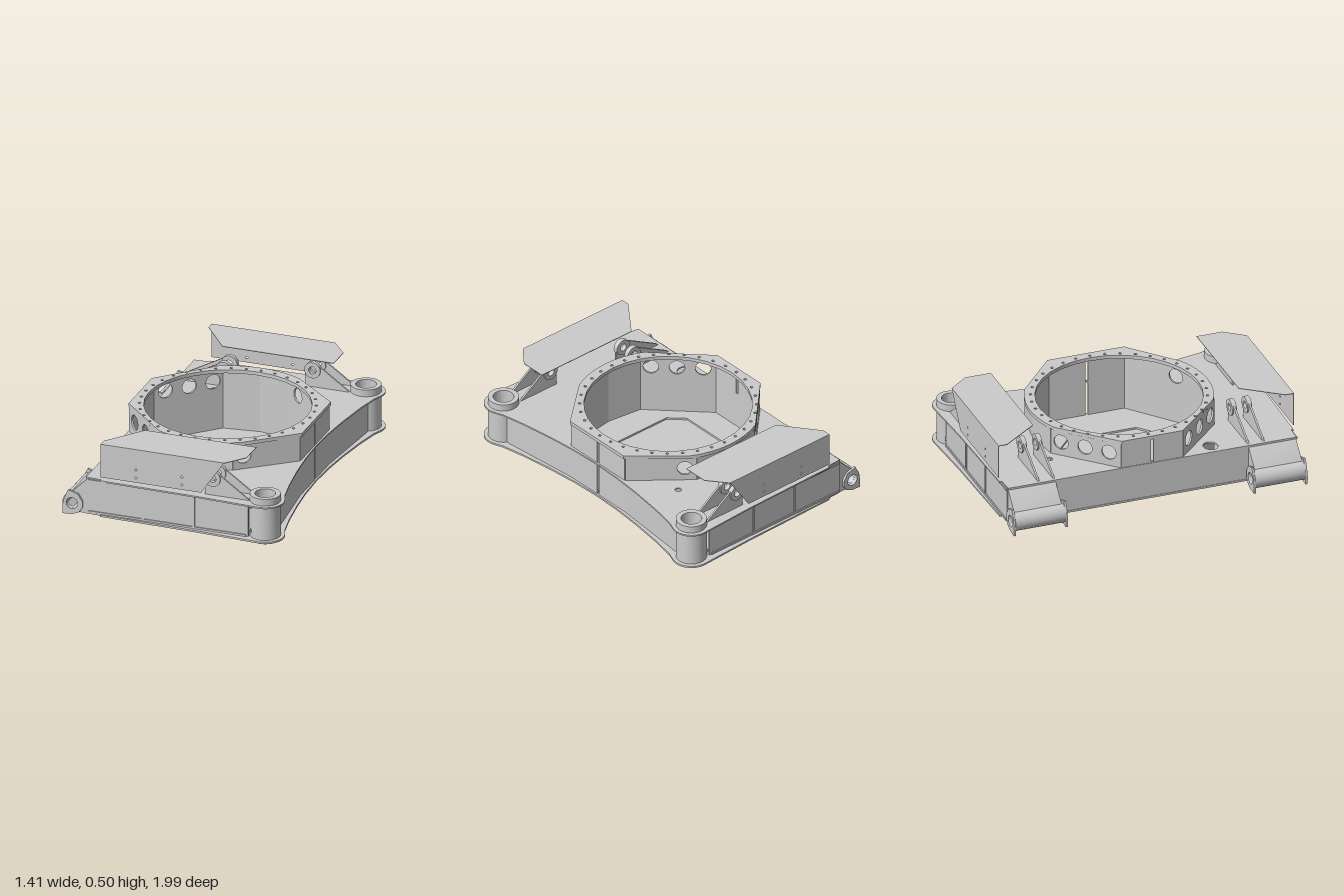
import * as THREE from 'three';
import { toCreasedNormals } from 'three/addons/utils/BufferGeometryUtils.js';

const material = new THREE.MeshStandardMaterial({ color: 0xcccccc, side: THREE.DoubleSide });
const SIDES = [1, -1];
const BOSS = [0.585, 0.875];
const CX = 0.015;

const polygon = (pts) => new THREE.Shape(pts.map(([x, y]) => new THREE.Vector2(x, y)));
const circle = (x, y, r, ry = r) => new THREE.Path().absellipse(x, y, r, ry, 0, Math.PI * 2);
const mirrorZ = (half) => [...half, ...half.map(([x, z]) => [x, -z]).reverse().filter(([, z]) => z !== 0)];
const arc = (cx, cy, r, a0, a1, n) => Array.from({ length: n + 1 }, (_, i) => {
  const a = a0 + (a1 - a0) * i / n;
  return [cx + r * Math.cos(a), cy + r * Math.sin(a)];
});

export function createModel() {
  const model = new THREE.Group();

  const add = (name, geometry, x = 0, y = 0, z = 0) => {
    const mesh = new THREE.Mesh(geometry, material);
    mesh.name = name;
    mesh.position.set(x, y, z);
    model.add(mesh);
    return mesh;
  };
  const extrude = (shape, depth) => toCreasedNormals(
    new THREE.ExtrudeGeometry(shape, { depth, bevelEnabled: false, curveSegments: 16 }), 0.5);
  // Horizontal plate, shape drawn in x and z
  const slab = (name, shape, y0, y1) => add(name, extrude(shape, y1 - y0).rotateX(Math.PI / 2), 0, y1);
  // Upright plate, shape drawn in x and y, centred on z
  const plate = (name, shape, z, t) => add(name, extrude(shape, t), 0, 0, z - t / 2);
  // Upright wall between two points of the floor plan
  const wall = (name, [ax, az], [bx, bz], y0, y1, holes = [], t = 0.012) => {
    const len = Math.hypot(bx - ax, bz - az);
    const shape = polygon([[0, y0], [len, y0], [len, y1], [0, y1]]);
    shape.holes = holes;
    const mesh = add(name, extrude(shape, t).translate(0, 0, -t / 2), ax, 0, az);
    mesh.rotation.y = -Math.atan2(bz - az, bx - ax);
  };
  const box = (name, w, h, d, x, y, z) => add(name, new THREE.BoxGeometry(w, h, d), x, y, z);
  // Hollow tube standing on y = 0
  const tube = (r, ri, h) => toCreasedNormals(new THREE.LatheGeometry(
    [[ri, 0], [r, 0], [r, h], [ri, h], [ri, 0]].map((p) => new THREE.Vector2(...p)), 40), 0.5);

  // Deck and floor plates share one outline
  const outline = mirrorZ([
    [0.59, 0], [0.597, 0.2], [0.615, 0.4], [0.645, 0.62], [0.675, 0.775],
    ...arc(...BOSS, 0.12, -0.35, 1.6, 12),
    [0.2, 0.975], [-0.46, 0.96], [-0.46, 0.945], [-0.56, 0.94],
  ]);
  const wellPlan = mirrorZ([[0.575, 0.25], [0.24, 0.525], [CX, 0.56], [-0.22, 0.53], [-0.55, 0.2]]);
  const hatchPlan = mirrorZ([[0.31, 0.225], [0.165, 0.352], [-0.28, 0.352], [-0.37, 0.265]]);
  const bossHoles = () => SIDES.map((s) => circle(BOSS[0], s * BOSS[1], 0.08));

  const deck = polygon(outline);
  deck.holes = [polygon(wellPlan), ...bossHoles(),
    circle(-0.48, 0.41, 0.052, 0.045), circle(-0.29, -0.57, 0.021), circle(0.4, -0.54, 0.021)];
  slab('deckPlate', deck, 0.25, 0.26);
  const floor = polygon(outline);
  floor.holes = [polygon(hatchPlan), ...bossHoles()];
  slab('floorPlate', floor, 0.018, 0.03);
  slab('bottomCover', polygon(mirrorZ([[0.37, 0.25], [0.19, 0.4], [-0.3, 0.4], [-0.4, 0.29]])), 0.003, 0.018);

  // Well walls, with round openings in the diagonals and slots in the ends
  const slot = (mid, y0, y1) => polygon([[mid - 0.009, y0], [mid + 0.009, y0], [mid + 0.009, y1], [mid - 0.009, y1]]);
  wellPlan.forEach((a, i) => {
    const b = wellPlan[(i + 1) % wellPlan.length];
    const len = Math.hypot(b[0] - a[0], b[1] - a[1]);
    const holes = [];
    if (i === 3 || i === 5) {
      [0.08, 0.24, 0.4].forEach((d) => holes.push(circle(i === 5 ? d : len - d, 0.35, 0.048)));
    }
    if (i === 0 || i === 8) holes.push(circle(i === 0 ? len - 0.07 : 0.07, 0.345, 0.048));
    if (i === 4) holes.push(slot(len / 2, 0.27, 0.42));
    if (i === 9) holes.push(slot(len / 2, 0.03, 0.42));
    wall('wellWall', a, b, 0.02, 0.425, holes);
  });

  // Ring flange with bolt holes
  const ring = polygon(mirrorZ([
    [0.59, 0.25], ...arc(CX, 0, 0.58, 1.08, 2.03, 12), [-0.56, 0.2]]));
  ring.holes = [new THREE.Path().absarc(CX - 0.002, 0, 0.515, 0, Math.PI * 2)];
  for (let i = 0; i < 36; i++) {
    const a = (i + 0.15) / 36 * Math.PI * 2;
    ring.holes.push(circle(CX - 0.002 + 0.54 * Math.cos(a), 0.54 * Math.sin(a), 0.009));
  }
  slab('ringFlange', ring, 0.422, 0.445);

  for (const s of SIDES) {
    // Outer walls and their seam strips
    wall('sideWall', [-0.55, s * 0.94], [0.5, s * 0.94], 0.025, 0.255);
    wall('rightWall', [0.575, s * 0.25], [0.625, s * 0.79], 0.025, 0.255);
    wall('leftWall', [-0.55, s * 0.2], [-0.55, s * 0.94], 0.025, 0.255);
    for (const x of [-0.185, 0.145]) box('sideRib', 0.014, 0.22, 0.016, x, 0.14, s * 0.945);
    for (const y of [0.037, 0.245]) box('sideTrim', 1.03, 0.012, 0.016, -0.03, y, s * 0.945);

    // Vertical pin boss
    add('cornerBoss', tube(0.095, 0.064, 0.3), BOSS[0], 0.005, s * BOSS[1]);
    for (const y of [0.07, 0.23]) {
      const port = add('bossPort', tube(0.012, 0.006, 0.006), 0.515, y, s * 0.938);
      port.rotation.x = s * Math.PI / 2;
      port.rotation.z = s * 0.6;
    }

    // Sloping hinge arm, hinge tube and end plates
    const arm = polygon([[-0.545, 0.02], [-0.62, 0.02], [-0.69, 0.08], [-0.668, 0.135], [-0.545, 0.256]]);
    arm.holes = [circle(-0.645, 0.08, 0.037)];
    plate('hingeArm', arm, s * 0.785, 0.31);
    const hinge = add('hingeTube', tube(0.065, 0.037, 0.33).translate(0, -0.165, 0), -0.645, 0.08, s * 0.783);
    hinge.rotation.x = Math.PI / 2;
    for (const z of [0.614, 0.952]) {
      const end = polygon([[-0.706, 0.004], [-0.64, 0.009], [-0.6, 0.025], [-0.577, 0.06], [-0.577, 0.1],
        [-0.605, 0.145], [-0.67, 0.166], [-0.695, 0.11], [-0.707, 0.06]]);
      end.holes = [circle(-0.645, 0.08, 0.037)];
      plate('hingeEndPlate', end, s * z, 0.014);
    }

    // Lugs: a sloped plate ending in a round eye, in two pairs
    for (const [eyeX, footX, zs] of [[-0.25, -0.54, [0.635, 0.735]], [0.26, 0.5, [0.82, 0.915]]]) {
      const d = Math.sign(eyeX - footX);
      for (const z of zs) {
        const lug = polygon([[footX, 0.258], [footX + d * 0.02, 0.275], [eyeX - d * 0.04, 0.402],
          [eyeX, 0.415], [eyeX + d * 0.04, 0.4], [eyeX + d * 0.05, 0.37], [eyeX + d * 0.05, 0.258]]);
        lug.holes = [circle(eyeX, 0.372, 0.024)];
        plate('lugPlate', lug, s * z, 0.012);
        const eye = add('lugEye', tube(0.052, 0.024, 0.03).translate(0, -0.015, 0), eyeX, 0.372, s * z);
        eye.rotation.x = Math.PI / 2;
        box('floorTab', 0.1, 0.01, 0.01, footX + d * 0.1, 0.014, s * z);
      }
    }

    // Thin folded guard
    slab('guardTop', polygon([[-0.455, s * 0.965], [0.35, s * 0.965], [0.45, s * 0.84],
      [0.45, s * 0.672], [-0.275, s * 0.672], [-0.455, s * 0.91]]), 0.502, 0.506);
    const skirt = polygon([[-0.455, 0.285], [0.2, 0.285], [0.35, 0.506], [-0.455, 0.506]]);
    skirt.holes = [-0.225, 0.075].flatMap((x) => [0.318, 0.37].map((y) => circle(x, y, 0.007)));
    plate('guardSkirt', skirt, s * 0.963, 0.004);
  }
  return model;
}
